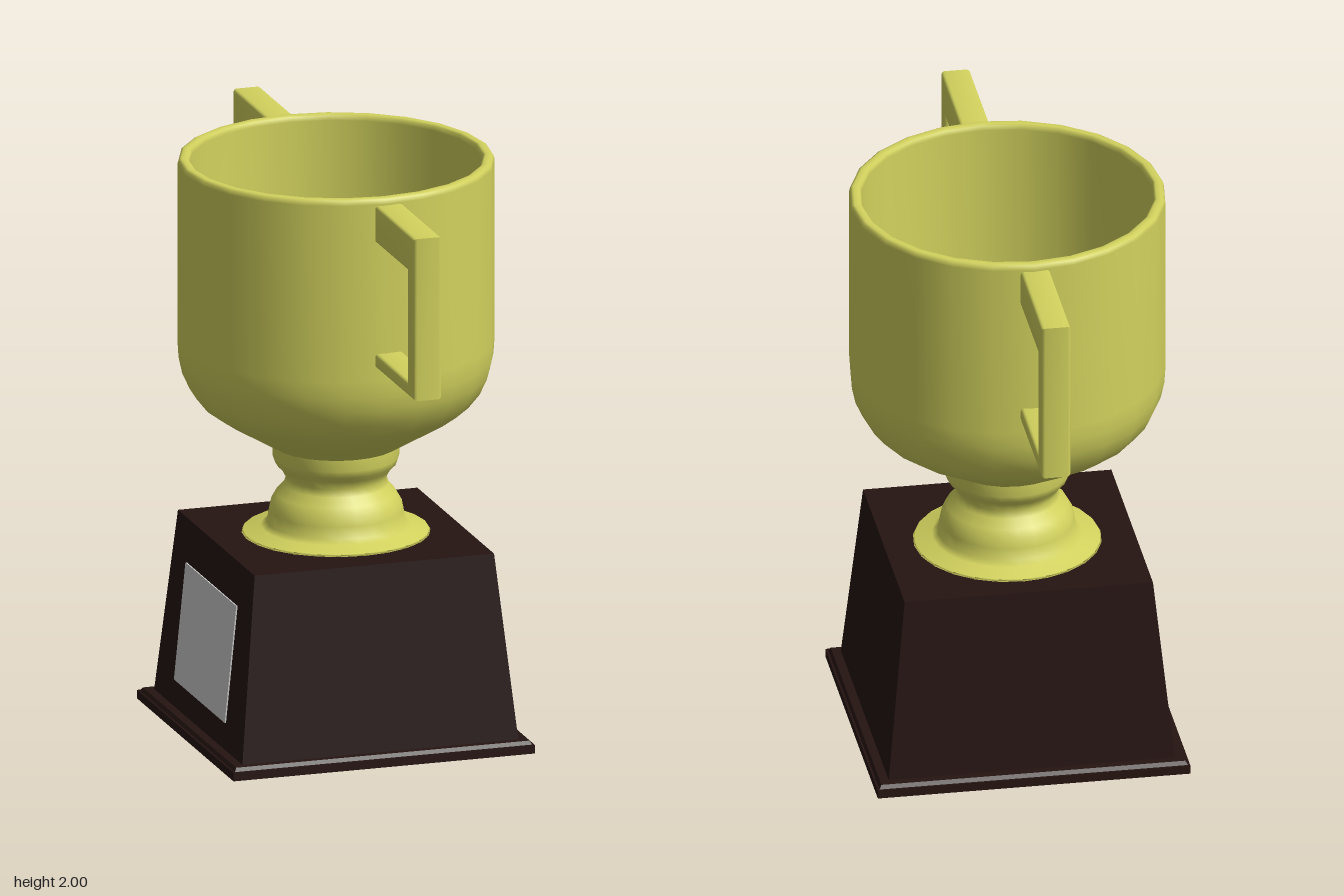
import * as THREE from 'three';
import { toCreasedNormals } from 'three/addons/utils/BufferGeometryUtils.js';

const gold = new THREE.MeshStandardMaterial({ color: 0xd2d25e });
const darkWood = new THREE.MeshStandardMaterial({ color: 0x251411 });
const grey = new THREE.MeshStandardMaterial({ color: 0xcccccc });

function part(name, geometry, material, parent) {
  const mesh = new THREE.Mesh(geometry, material);
  mesh.name = name;
  parent.add(mesh);
  return mesh;
}

function lathe(points) {
  return new THREE.LatheGeometry(points.map(([r, y]) => new THREE.Vector2(r, y)), 24);
}

// Box whose top is narrower than its bottom; bounds are [minX, maxX, minZ, maxZ]
function taperedBox(y0, y1, bottom, top) {
  const g = new THREE.BoxGeometry(1, 1, 1);
  const p = g.attributes.position;
  for (let i = 0; i < p.count; i++) {
    const b = p.getY(i) > 0 ? top : bottom;
    p.setXYZ(i, b[p.getX(i) > 0 ? 1 : 0], p.getY(i) > 0 ? y1 : y0, b[p.getZ(i) > 0 ? 3 : 2]);
  }
  g.computeVertexNormals();
  return g;
}

function rect(PathType, x0, y0, x1, y1) {
  return new PathType([[x0, y0], [x1, y0], [x1, y1], [x0, y1]].map(([x, y]) => new THREE.Vector2(x, y)));
}

// Squared handle with softened edges, reaching out along +z
function handleGeometry() {
  const b = 0.012, width = 0.1;
  const shape = rect(THREE.Shape, 0.505 + b, 1.405 + b, 0.95 - b, 1.975 - b);
  shape.holes.push(rect(THREE.Path, 0.505 + 2 * b, 1.455 - b, 0.875 + b, 1.845 + b));
  // Open the inner end so that only the bars meet the cup
  const outline = new THREE.Shape([
    [0.5, 1.405 + b], [0.95 - b, 1.405 + b], [0.95 - b, 1.975 - b], [0.5, 1.975 - b],
    [0.5, 1.845 + b], [0.875 + b, 1.845 + b], [0.875 + b, 1.455 - b], [0.5, 1.455 - b],
  ].map(([x, y]) => new THREE.Vector2(x + (x === 0.5 ? 0.015 : 0), y)));
  const g = new THREE.ExtrudeGeometry(outline, {
    depth: width - 2 * b, bevelEnabled: true, bevelSize: b, bevelThickness: b, bevelSegments: 3,
  });
  g.translate(0, 0, -(width / 2 - b));
  g.rotateY(-Math.PI / 2);
  return toCreasedNormals(g, 0.7);
}

export function createModel() {
  const model = new THREE.Group();
  model.name = 'trophy';

  // Wooden plinth
  const base = new THREE.Group();
  base.name = 'base';
  model.add(base);
  part('baseLip', taperedBox(0, 0.03, [-0.54, 0.53, -0.507, 0.537], [-0.54, 0.53, -0.507, 0.537]), darkWood, base);
  part('baseLipBevel', taperedBox(0.03, 0.042, [-0.533, 0.523, -0.5, 0.53], [-0.525, 0.515, -0.49, 0.52]), darkWood, base);
  part('baseBody', taperedBox(0.04, 0.683, [-0.495, 0.485, -0.46, 0.495], [-0.43, 0.42, -0.4, 0.43]), darkWood, base);

  // Plate lying on the sloping side of the plinth
  const plate = part('plate', new THREE.BoxGeometry(0.008, 0.41, 0.55), grey, base);
  plate.position.set(-0.466, 0.335, 0.015);
  plate.rotation.z = -0.1;

  // Turned stem
  part('stem', lathe([
    [0, 0.68], [0.32, 0.682], [0.315, 0.69], [0.255, 0.705], [0.235, 0.72], [0.228, 0.76], [0.222, 0.79],
    [0.205, 0.82], [0.178, 0.85], [0.17, 0.875], [0.185, 0.905], [0.205, 0.925], [0.214, 0.95], [0.214, 1.0],
  ]), gold, model);

  // Hollow cup, outside up to the rim and then down the inside
  part('cup', lathe([
    [0, 0.99], [0.214, 0.99], [0.22, 0.994], [0.4, 1.1], [0.455, 1.14], [0.495, 1.19], [0.52, 1.245],
    [0.532, 1.3], [0.536, 1.36], [0.536, 1.98], [0.532, 1.995], [0.523, 2], [0.506, 2],
    [0.498, 1.995], [0.495, 1.98], [0.495, 1.36], [0.485, 1.27], [0.455, 1.2], [0.4, 1.15],
    [0.3, 1.1], [0.2, 1.06], [0, 1.05],
  ]), gold, model);

  // Handles at front and back
  const geometry = handleGeometry();
  part('frontHandle', geometry, gold, model).position.x = 0.015;
  const back = part('backHandle', geometry, gold, model);
  back.rotation.y = Math.PI;
  back.position.x = -0.005;

  return model;
}
